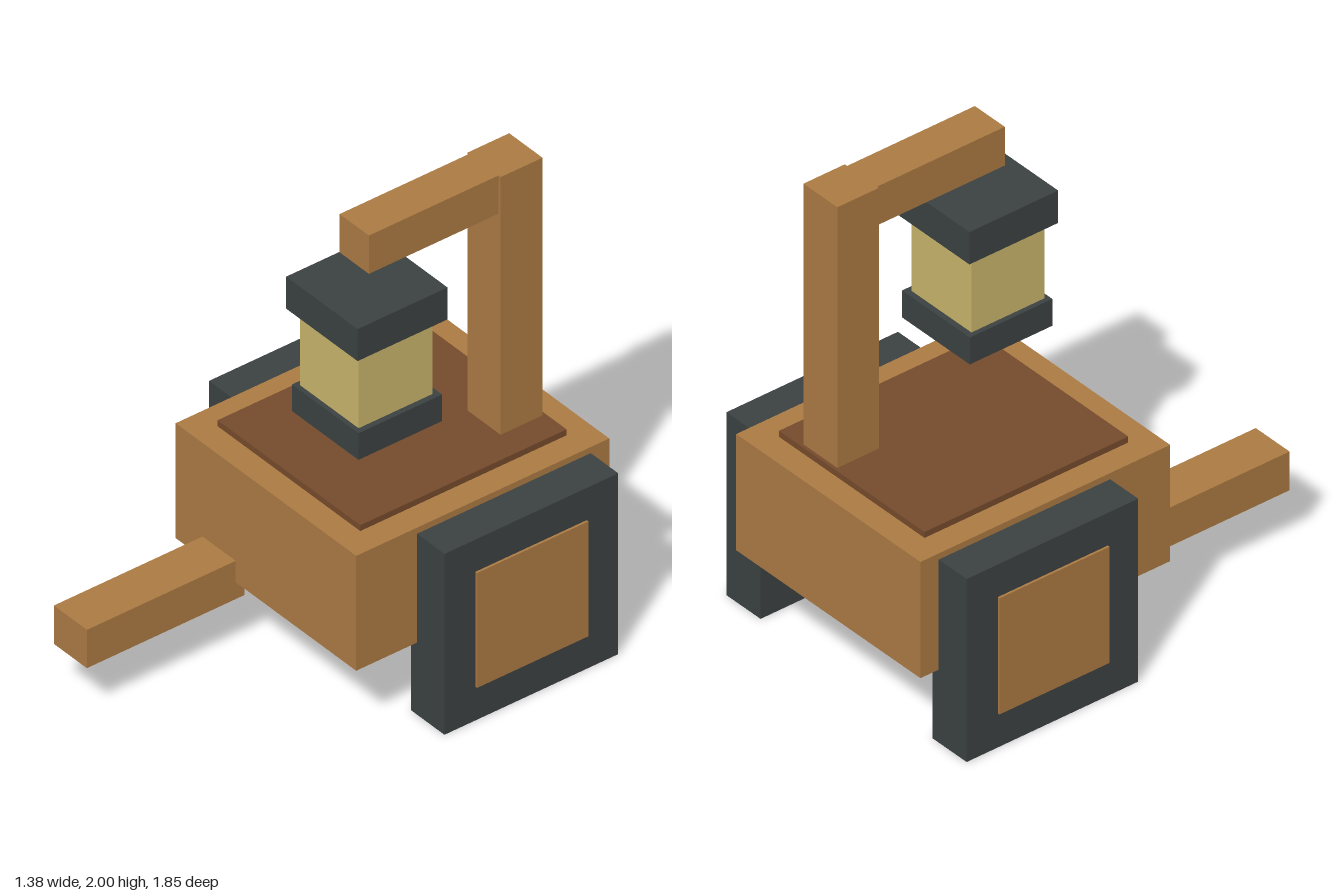
import * as THREE from 'three';

const material = (name, color) => {
  const m = new THREE.MeshStandardMaterial({ color });
  m.name = name;
  return m;
};

export function createModel() {
  const wood = material('wood', 0xab7a43);
  const darkWood = material('dark wood', 0x754a2b);
  const iron = material('dark iron', 0x3b4141);
  const glow = material('lantern glow', 0xc8b46a);

  const model = new THREE.Group();
  model.name = 'lanternCart';

  // Box given by its extents along each axis
  const box = (parent, name, mat, [x0, x1], [y0, y1], [z0, z1]) => {
    const mesh = new THREE.Mesh(new THREE.BoxGeometry(x1 - x0, y1 - y0, z1 - z0), mat);
    mesh.position.set((x0 + x1) / 2, (y0 + y1) / 2, (z0 + z1) / 2);
    mesh.name = name;
    parent.add(mesh);
  };
  const group = (name) => {
    const g = new THREE.Group();
    g.name = name;
    model.add(g);
    return g;
  };

  // Cart body with the load panel on top and the pull handle in front
  box(model, 'body', wood, [-0.523, 0.523], [0.32, 0.83], [-0.925, 0.24]);
  box(model, 'topPanel', darkWood, [-0.415, 0.412], [0.82, 0.856], [-0.817, 0.133]);
  box(model, 'handle', wood, [-0.367, -0.175], [0.245, 0.415], [0.2, 0.925]);

  // Square wheels with raised hubs, one on each side
  for (const [side, s] of [['left', 1], ['right', -1]]) {
    const wheel = group(side + 'Wheel');
    const span = (a, b) => (s > 0 ? [a, b] : [-b, -a]);
    box(wheel, 'tyre', iron, span(0.488, 0.682), [0, 0.803], [-0.84, -0.04]);
    box(wheel, 'hub', wood, span(0.6, 0.692), [0.15, 0.66], [-0.695, -0.182]);
  }

  // Post and arm
  const stand = group('lanternStand');
  box(stand, 'post', wood, [0.097, 0.29], [0.84, 2], [-0.803, -0.61]);
  box(stand, 'arm', wood, [0.107, 0.277], [1.83, 2], [-0.611, -0.014]);

  // Lantern below the arm
  const lantern = group('lantern');
  box(lantern, 'base', iron, [0, 0.385], [1.125, 1.243], [-0.265, 0.12]);
  box(lantern, 'lamp', glow, [0.021, 0.361], [1.243, 1.578], [-0.24, 0.1]);
  box(lantern, 'cap', iron, [-0.015, 0.399], [1.578, 1.72], [-0.279, 0.135]);

  return model;
}
